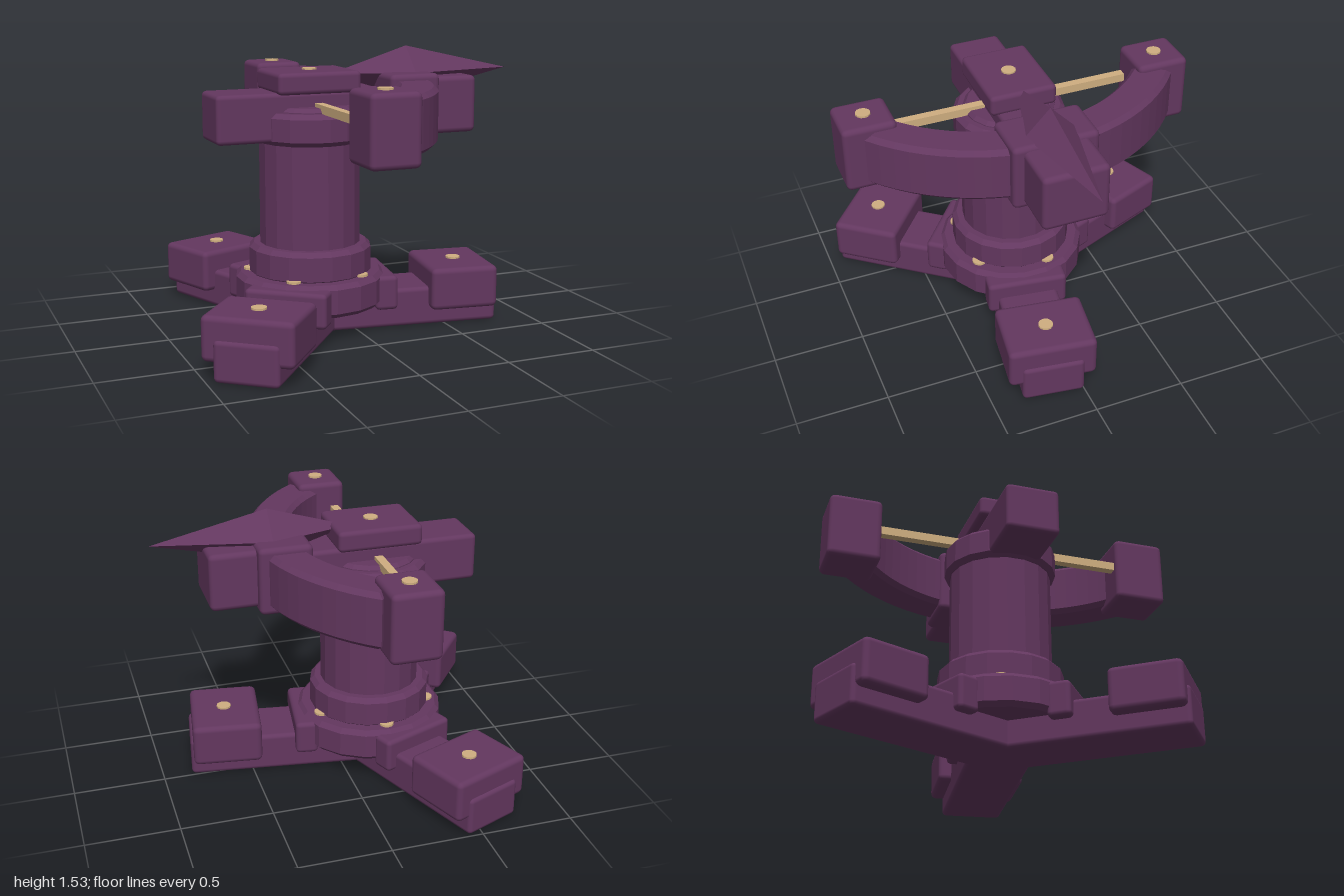
import * as THREE from 'three';
import { RoundedBoxGeometry } from 'three/addons/geometries/RoundedBoxGeometry.js';

const CX = -0.2, CZ = 0.02; // turret axis

export function createModel() {
  const model = new THREE.Group();
  model.name = 'boltTurret';
  const purple = new THREE.MeshStandardMaterial({ color: 0x63375f });
  purple.name = 'purple';
  const gold = new THREE.MeshStandardMaterial({ color: 0xcfae80 });
  gold.name = 'gold';

  const add = (parent, name, geo, mat = purple) => {
    const mesh = new THREE.Mesh(geo, mat);
    mesh.name = name;
    parent.add(mesh);
    return mesh;
  };
  const faceted = (geo) => {
    const g = geo.index ? geo.toNonIndexed() : geo;
    g.computeVertexNormals();
    return g;
  };
  // Rounded box given by its extents
  const box = (parent, name, [x0, x1], [y0, y1], [z0, z1], r = 0.025) => {
    const m = add(parent, name, new RoundedBoxGeometry(x1 - x0, y1 - y0, z1 - z0, 2, r));
    m.position.set((x0 + x1) / 2, (y0 + y1) / 2, (z0 + z1) / 2);
    return m;
  };
  // Faceted drum with chamfered rims
  const drum = (parent, name, r, y0, y1, c = 0.025, sides = 18) => {
    const profile = [[0, y0], [r - c, y0], [r, y0 + c], [r, y1 - c], [r - c, y1], [0, y1]];
    const pts = profile.map(([x, y]) => new THREE.Vector2(x, y));
    return add(parent, name, faceted(new THREE.LatheGeometry(pts, sides)));
  };
  const nail = (parent, x, top, z) => {
    const m = add(parent, 'nail', faceted(new THREE.CylinderGeometry(0.04, 0.04, 0.03, 12)), gold);
    m.position.set(x, top - 0.015, z);
  };

  // Tripod base and column
  const base = new THREE.Group();
  base.name = 'base';
  base.position.set(CX, 0, CZ);
  model.add(base);
  for (let i = 0; i < 3; i++) {
    const leg = new THREE.Group();
    leg.name = 'leg';
    leg.rotation.y = -THREE.MathUtils.degToRad(8.3 + 120 * i);
    base.add(leg);
    box(leg, 'legBeam', [-0.03, 1.03], [0.005, 0.22], [-0.17, 0.17]);
    box(leg, 'footBlock', [0.635, 1.015], [0.1, 0.335], [-0.24, 0.24], 0.03);
    box(leg, 'legClamp', [0.32, 0.445], [0.12, 0.31], [-0.225, 0.225]);
    nail(leg, 0.83, 0.345, 0);
  }
  drum(base, 'baseDisc', 0.41, 0.15, 0.33);
  for (let i = 0; i < 5; i++) {
    const a = THREE.MathUtils.degToRad(54 + 72 * i);
    nail(base, 0.325 * Math.cos(a), 0.342, 0.325 * Math.sin(a));
  }
  drum(base, 'columnCollar', 0.335, 0.31, 0.49);
  drum(base, 'column', 0.275, 0.45, 1.1, 0.01);
  drum(base, 'columnHead', 0.305, 1.045, 1.215);
  drum(base, 'columnCap', 0.25, 1.15, 1.24, 0.02);

  // Crossbow on top
  const bow = new THREE.Group();
  bow.name = 'crossbow';
  bow.position.z = CZ;
  model.add(bow);
  box(bow, 'stock', [-0.76, 0.4], [1.06, 1.32], [-0.145, 0.145]);
  box(bow, 'stockNose', [0.3, 0.72], [1.06, 1.375], [-0.18, 0.18], 0.03);
  box(bow, 'bowClamp', [0.18, 0.47], [1.03, 1.4], [-0.235, 0.235], 0.03);
  box(bow, 'topPlate', [-0.435, 0.03], [1.31, 1.425], [-0.185, 0.185]);
  nail(bow, CX, 1.433, 0);

  // Curved bow limb, one arc running through the clamp
  const span = THREE.MathUtils.degToRad(52);
  const arc = new THREE.Shape();
  arc.absarc(0, 0, 1.094, -span, span, false);
  arc.absarc(0, 0, 0.88, span, -span, true);
  const limbGeo = new THREE.ExtrudeGeometry(arc, {
    depth: 0.25, curveSegments: 12, bevelThickness: 0.025,
    bevelSize: 0.025, bevelOffset: -0.025, bevelSegments: 1,
  });
  limbGeo.rotateX(Math.PI / 2);
  add(bow, 'bowLimb', limbGeo).position.set(-0.65, 1.34, 0);

  for (const s of [-1, 1]) {
    box(bow, 'limbTip', [-0.26, 0.01], [1.03, 1.4], [s * 0.825 - 0.145, s * 0.825 + 0.145], 0.03);
    nail(bow, -0.125, 1.41, s * 0.825);
  }

  // Bowstring
  const string = add(bow, 'bowstring', new THREE.BoxGeometry(0.046, 0.046, 1.5), gold);
  string.position.set(CX, 1.237, 0);

  // Bolt head: stretched octahedron with a shorter tail
  const head = new THREE.OctahedronGeometry(1);
  const p = head.attributes.position;
  for (let i = 0; i < p.count; i++) {
    const x = p.getX(i);
    p.setXYZ(i, x * (x > 0 ? 0.625 : 0.45), p.getY(i) * 0.14, p.getZ(i) * 0.135);
  }
  add(bow, 'boltHead', faceted(head)).position.set(0.37, 1.395, 0);

  return model;
}
